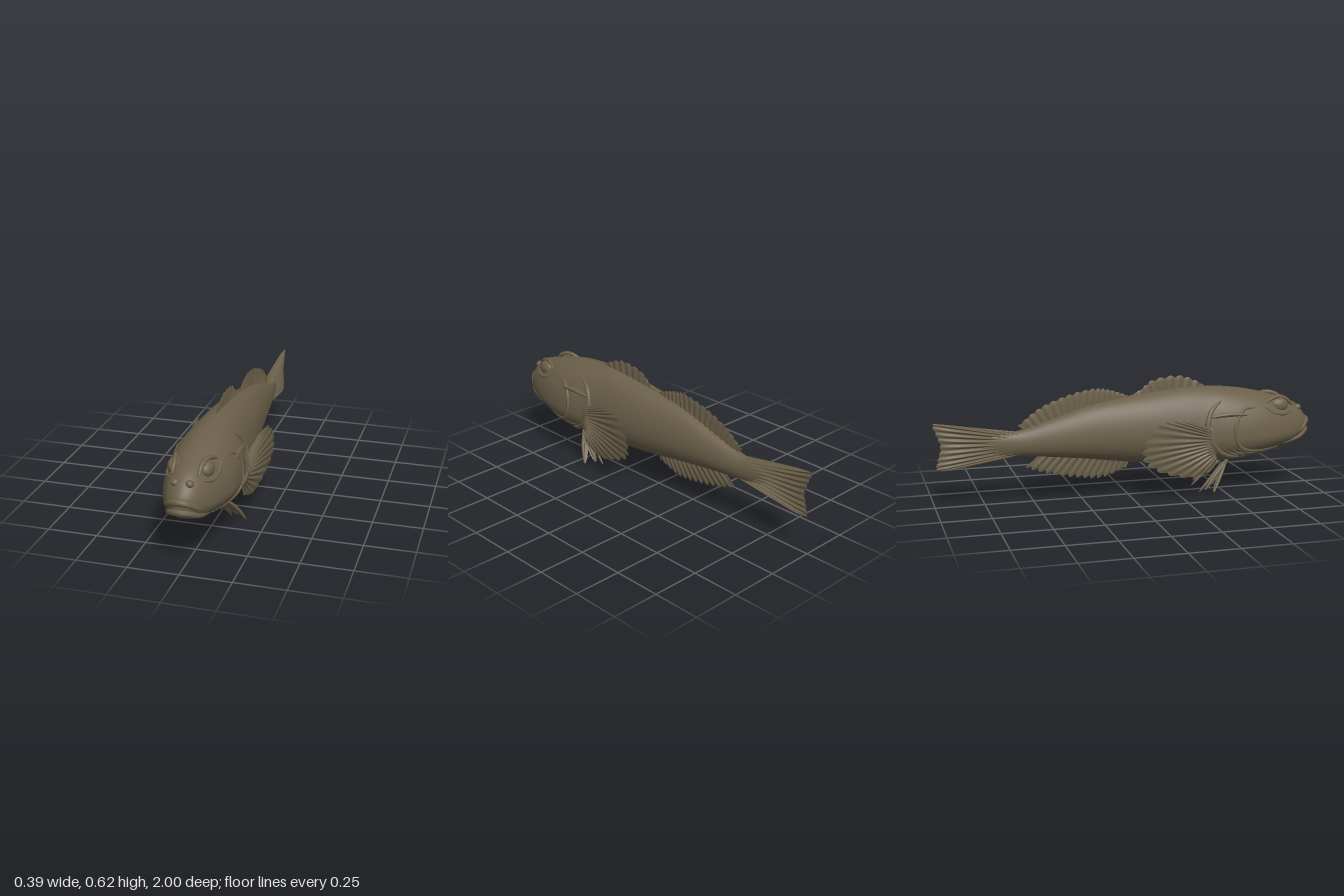
import * as THREE from 'three';

const skinMat = new THREE.MeshStandardMaterial({ color: 0x6a5f49, side: THREE.DoubleSide });
skinMat.name = 'olive brown skin';

const V = (p) => new THREE.Vector3(...p);
const curveOf = (pts) => new THREE.CatmullRomCurve3(pts.map(V), false, 'catmullrom', 0.5);
const lerp = THREE.MathUtils.lerp;

function mesh(name, geometry, parent) {
  const m = new THREE.Mesh(geometry, skinMat);
  m.name = name;
  parent.add(m);
  return m;
}

// Smooth surface from a grid of points; wrap joins the last column to the first.
function gridGeometry(rows, cols, point, wrap) {
  const pos = [], index = [], n = wrap ? cols : cols + 1;
  for (let i = 0; i <= rows; i++)
    for (let j = 0; j < n; j++) pos.push(...point(i / rows, j / cols));
  for (let i = 0; i < rows; i++)
    for (let j = 0; j < cols; j++) {
      const a = i * n + j, b = i * n + ((j + 1) % n);
      index.push(a, b, a + n, b, b + n, a + n);
    }
  const g = new THREE.BufferGeometry();
  g.setAttribute('position', new THREE.Float32BufferAttribute(pos, 3));
  g.setIndex(index);
  g.computeVertexNormals();
  return g;
}

// Body sections, nose to tail: z, top, bottom, height of widest point, half width
const sections = [
  [0.985, 0.345, 0.32, 0.332, 0.002],
  [0.98, 0.37, 0.295, 0.332, 0.03],
  [0.96, 0.4, 0.27, 0.33, 0.06],
  [0.93, 0.432, 0.25, 0.32, 0.086],
  [0.88, 0.464, 0.228, 0.31, 0.11],
  [0.8, 0.49, 0.208, 0.305, 0.138],
  [0.7, 0.518, 0.187, 0.3, 0.161],
  [0.6, 0.538, 0.168, 0.3, 0.17],
  [0.5, 0.55, 0.158, 0.3, 0.166],
  [0.4, 0.556, 0.155, 0.3, 0.15],
  [0.3, 0.555, 0.155, 0.31, 0.141],
  [0.15, 0.54, 0.165, 0.325, 0.13],
  [0, 0.52, 0.178, 0.33, 0.115],
  [-0.2, 0.485, 0.205, 0.325, 0.09],
  [-0.4, 0.425, 0.228, 0.315, 0.066],
  [-0.55, 0.378, 0.24, 0.308, 0.045],
  [-0.65, 0.365, 0.245, 0.307, 0.028],
  [-0.78, 0.34, 0.27, 0.306, 0.004],
];
const heights = curveOf(sections.map(([z, top, bottom]) => [z, top, bottom]));
const widths = curveOf(sections.map(([z, , , mid, w]) => [z, mid, w]));

// Point on one section: angle 0 is the side, +90 degrees the back, -90 the belly
function sectionPoint(z, top, bottom, mid, w, angle) {
  const s = Math.sin(angle);
  return [w * Math.cos(angle), mid + s * (s > 0 ? top - mid : mid - bottom), z];
}

// Point on the skin at a given z and angle in degrees
function onSkin(z, degrees) {
  let k = 0;
  while (k < sections.length - 2 && sections[k + 1][0] > z) k++;
  const a = sections[k], b = sections[k + 1], t = (z - a[0]) / (b[0] - a[0]);
  return sectionPoint(...a.map((v, i) => lerp(v, b[i], t)), THREE.MathUtils.degToRad(degrees));
}

// Rounded ridge whose ends taper
function ridge(name, pts, radius, parent, endSize = 0.15) {
  const curve = curveOf(pts), steps = 36, sides = 10;
  const g = new THREE.TubeGeometry(curve, steps, radius, sides);
  const p = g.attributes.position, v = new THREE.Vector3(), c = new THREE.Vector3();
  for (let i = 0; i < p.count; i++) {
    const u = Math.floor(i / (sides + 1)) / steps;
    curve.getPointAt(u, c);
    v.fromBufferAttribute(p, i).sub(c);
    v.multiplyScalar(endSize + (1 - endSize) * Math.sqrt(Math.max(0, Math.sin(Math.PI * u)))).add(c);
    p.setXYZ(i, v.x, v.y, v.z);
  }
  g.computeVertexNormals();
  return mesh(name, g, parent);
}

// Ribbed fin between a base curve and a tip curve, with a notch between rays
function fin(name, base, tip, parent, { rays, thick, notch, normal = [1, 0, 0] }) {
  const b = curveOf(base), t = curveOf(tip), n = V(normal).normalize();
  const group = new THREE.Group();
  group.name = name;
  for (const face of [1, -1]) {
    const g = gridGeometry(rays * 8, 8, (u, v) => {
      const ray = Math.abs(Math.cos(Math.PI * rays * u));
      const p = b.getPoint(u).lerp(t.getPoint(u), v * (1 - notch * (1 - ray)));
      const depth = thick * (0.35 + 0.65 * ray * ray) * Math.sqrt(1 - v) * Math.min(1, 12 * u, 12 * (1 - u));
      return p.addScaledVector(n, face * depth).toArray();
    }, false);
    mesh(name + (face > 0 ? 'FaceA' : 'FaceB'), g, group);
  }
  parent.add(group);
}

function ball(name, center, size, parent) {
  const m = mesh(name, new THREE.SphereGeometry(1, 28, 20), parent);
  m.position.set(...center);
  m.scale.set(...size);
  return m;
}

// Paired parts on the +x side
function buildSide(name) {
  const side = new THREE.Group();
  side.name = name;

  // Eye, brow and nostril
  ball('eye', [0.075, 0.448, 0.8], [0.034, 0.04, 0.052], side);
  ridge('brow', [[0.062, 0.44, 0.885], [0.064, 0.48, 0.84], [0.078, 0.492, 0.78], [0.1, 0.47, 0.72]], 0.012, side);
  ridge('eyeSocketRim', [[0.08, 0.42, 0.875], [0.107, 0.405, 0.82], [0.118, 0.42, 0.75], [0.112, 0.455, 0.71]], 0.01, side);
  ball('nostril', [0.034, 0.422, 0.925], [0.02, 0.018, 0.02], side);

  // Cheek and gill cover
  const onRidge = (label, pts, r) => ridge(label, pts.map(([z, a]) => onSkin(z, a)), r, side);
  onRidge('cheekRidge', [[0.66, 42], [0.58, 36], [0.53, 12], [0.56, -20], [0.66, -40], [0.78, -48]], 0.011);
  onRidge('gillCoverEdge', [[0.47, 50], [0.41, 34], [0.385, 12], [0.42, -15], [0.5, -42], [0.62, -62]], 0.016);
  onRidge('gillSpine', [[0.6, 30], [0.5, 30], [0.4, 26]], 0.012);
  for (let i = 0; i < 3; i++)
    onRidge('throatFold', [[0.45 + i * 0.035, -14], [0.53 + i * 0.035, -38], [0.66 + i * 0.03, -54 + i * 3], [0.8, -62 + i * 6]], 0.009);

  // Pectoral fin and its fleshy root
  ball('pectoralRoot', [0.138, 0.28, 0.4], [0.024, 0.09, 0.05], side);
  fin('pectoralFin',
    [[0.152, 0.36, 0.4], [0.152, 0.28, 0.4], [0.138, 0.19, 0.44]],
    [[0.167, 0.405, 0.29], [0.178, 0.412, 0.2], [0.187, 0.395, 0.1], [0.194, 0.29, 0.028],
      [0.186, 0.2, 0.04], [0.172, 0.135, 0.16], [0.156, 0.108, 0.3], [0.14, 0.145, 0.42]],
    side, { rays: 15, thick: 0.013, notch: 0.07, normal: [1, 0, 0.12] });

  // Pelvic fin with stout rays
  const roots = [[0.07, 0.168, 0.52], [0.057, 0.166, 0.527], [0.044, 0.164, 0.533], [0.03, 0.162, 0.54]];
  const tips = [[0.155, 0.018, 0.42], [0.1, 0.02, 0.39], [0.066, 0.002, 0.37], [0.027, 0.075, 0.45]];
  fin('pelvicFin', roots, tips, side, { rays: 3, thick: 0.011, notch: 0.38, normal: [0, 0.6, 0.8] });
  roots.forEach((r, i) => {
    const t = tips[i], bend = r.map((v, k) => (v + t[k]) / 2 + [0.006, 0.008, 0][k]);
    ridge('pelvicRay', [r, bend, t], 0.009, side, 0.1);
  });
  return side;
}

export function createModel() {
  const fish = new THREE.Group();
  fish.name = 'fish';

  // Body
  mesh('body', gridGeometry(136, 64, (u, v) => {
    const h = heights.getPoint(u), w = widths.getPoint(u);
    return sectionPoint(h.x, h.y, h.z, w.y, Math.max(w.z, 0.001), v * Math.PI * 2);
  }, true), fish);

  // Lips, arched and drooping at the corners
  const arch = (half) => [...half.slice(1).reverse().map(([x, y, z]) => [-x, y, z]), ...half];
  ridge('upperLip', arch([[0, 0.353, 0.982], [0.04, 0.342, 0.968], [0.075, 0.305, 0.92], [0.1, 0.265, 0.82]]), 0.018, fish);
  ridge('lowerLip', arch([[0, 0.303, 0.98], [0.04, 0.295, 0.964], [0.072, 0.27, 0.915], [0.096, 0.245, 0.82]]), 0.017, fish);

  // Fins on the centre line
  fin('firstDorsalFin',
    [[0, 0.545, 0.4], [0, 0.54, 0.2], [0, 0.51, 0.02]],
    [[0, 0.562, 0.41], [0, 0.595, 0.35], [0, 0.617, 0.28], [0, 0.615, 0.2], [0, 0.596, 0.12], [0, 0.555, 0.07], [0, 0.522, 0.01]],
    fish, { rays: 9, thick: 0.011, notch: 0.17 });
  fin('secondDorsalFin',
    [[0, 0.505, 0.01], [0, 0.455, -0.25], [0, 0.36, -0.53]],
    [[0, 0.525, 0], [0, 0.558, -0.09], [0, 0.57, -0.18], [0, 0.542, -0.32], [0, 0.486, -0.46], [0, 0.4, -0.575]],
    fish, { rays: 17, thick: 0.011, notch: 0.1 });
  fin('analFin',
    [[0, 0.19, 0.01], [0, 0.215, -0.2], [0, 0.25, -0.46]],
    [[0, 0.145, -0.01], [0, 0.1, -0.14], [0, 0.108, -0.27], [0, 0.135, -0.41], [0, 0.178, -0.54]],
    fish, { rays: 14, thick: 0.011, notch: 0.17 });
  fin('tailFin',
    [[0, 0.37, -0.58], [0, 0.308, -0.6], [0, 0.243, -0.58]],
    [[0, 0.424, -0.94], [0, 0.43, -1], [0, 0.375, -0.985], [0, 0.31, -0.965], [0, 0.245, -0.98], [0, 0.195, -0.985], [0, 0.19, -0.92]],
    fish, { rays: 12, thick: 0.026, notch: 0.02 });

  // Paired parts
  fish.add(buildSide('leftSide'));
  const right = buildSide('rightSide');
  right.scale.x = -1;
  fish.add(right);
  return fish;
}
